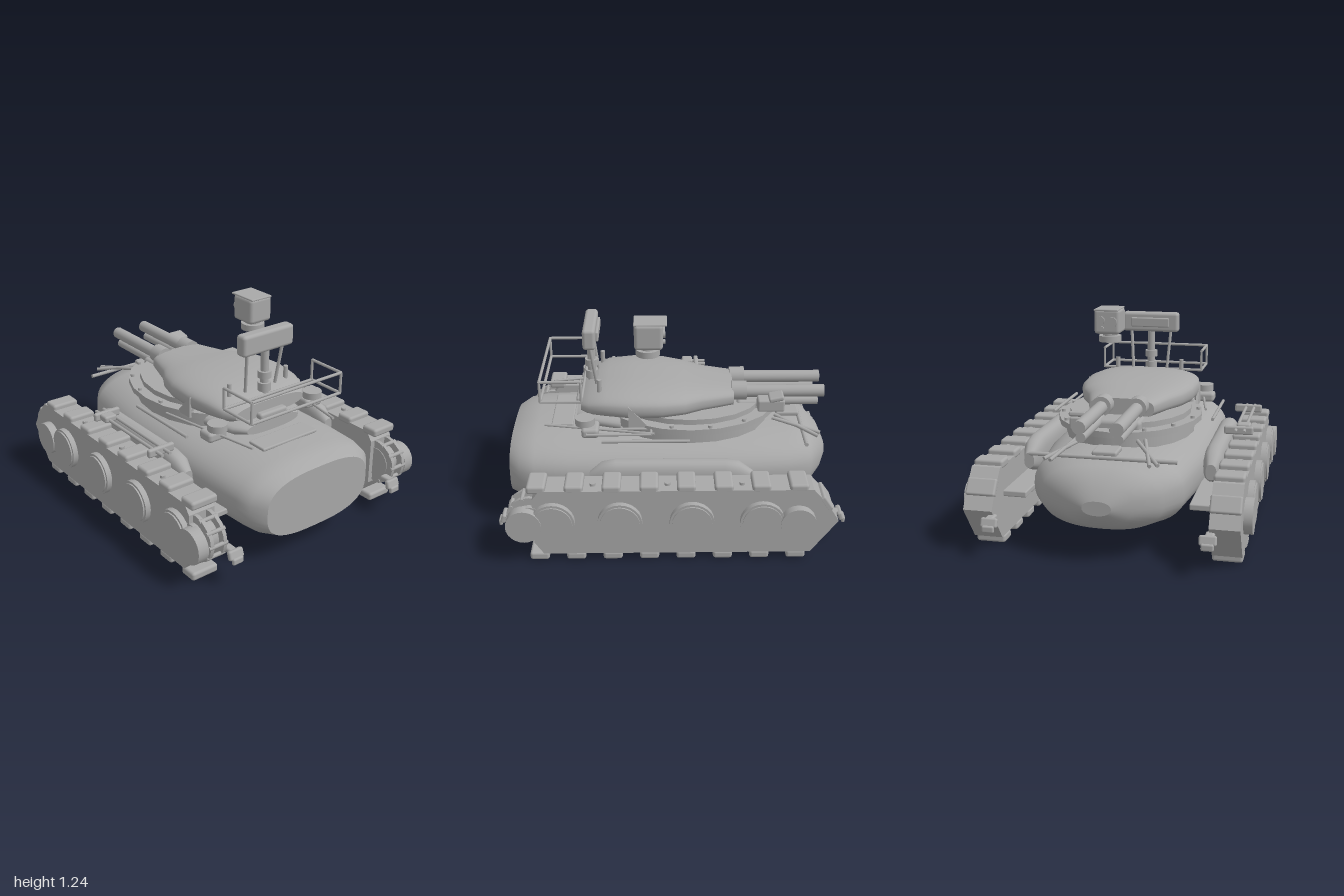
import * as THREE from 'three';
import { RoundedBoxGeometry } from 'three/addons/geometries/RoundedBoxGeometry.js';

const grey = new THREE.MeshStandardMaterial({ color: 0xa8a8a8 });
grey.name = 'plain grey';

// Closed body through superellipse sections [z, halfWidth, bottom, top, exponent], rear to front
function loft(sections, sides = 48) {
  const pos = [], idx = [];
  const ring = ([z, w, b, t, n]) => {
    for (let j = 0; j < sides; j++) {
      const a = (j / sides) * Math.PI * 2, c = Math.cos(a), s = Math.sin(a);
      pos.push(w * Math.sign(c) * Math.abs(c) ** (2 / n),
        (b + t) / 2 + ((t - b) / 2) * Math.sign(s) * Math.abs(s) ** (2 / n), z);
    }
  };
  sections.forEach(ring);
  for (let i = 0; i < sections.length - 1; i++) {
    for (let j = 0; j < sides; j++) {
      const k = (j + 1) % sides, p = i * sides, q = p + sides;
      idx.push(p + j, p + k, q + k, p + j, q + k, q + j);
    }
  }
  // flat end caps with their own corners
  [sections[0], sections[sections.length - 1]].forEach((sec, e) => {
    const base = pos.length / 3;
    ring(sec);
    pos.push(0, (sec[2] + sec[3]) / 2, sec[0]);
    for (let j = 0; j < sides; j++) {
      const k = (j + 1) % sides;
      idx.push(base + sides, base + (e ? j : k), base + (e ? k : j));
    }
  });
  const g = new THREE.BufferGeometry();
  g.setAttribute('position', new THREE.Float32BufferAttribute(pos, 3));
  g.setIndex(idx);
  g.computeVertexNormals();
  return g;
}

// Profile given as [z, y] points, extruded across x and centred on x = 0
function sidePlate(points, width, bevel = 0) {
  const shape = new THREE.Shape(points.map(([z, y]) => new THREE.Vector2(z, y)));
  const g = new THREE.ExtrudeGeometry(shape, {
    depth: width - 2 * bevel, bevelEnabled: bevel > 0, bevelSize: bevel,
    bevelOffset: -bevel, bevelThickness: bevel, bevelSegments: 2,
  });
  return g.translate(0, 0, bevel - width / 2).rotateY(-Math.PI / 2);
}

export function createModel() {
  const model = new THREE.Group();
  model.name = 'trackedVehicle';

  const add = (name, geo, x = 0, y = 0, z = 0) => {
    const m = new THREE.Mesh(geo, grey);
    m.name = name;
    m.position.set(x, y, z);
    model.add(m);
    return m;
  };
  const box = (name, w, h, d, x, y, z, r = 0.012) =>
    add(name, new RoundedBoxGeometry(w, h, d, 2, Math.min(r, w / 2.1, h / 2.1, d / 2.1)), x, y, z);
  const disc = (name, axis, r, len, x, y, z, sides = 24) => {
    const g = new THREE.CylinderGeometry(r, r, len, sides);
    if (axis === 'x') g.rotateZ(Math.PI / 2);
    if (axis === 'z') g.rotateX(Math.PI / 2);
    return add(name, g, x, y, z);
  };
  const rod = (name, a, b, r = 0.008) => {
    const p = new THREE.Vector3(...a), q = new THREE.Vector3(...b);
    const m = add(name, new THREE.CylinderGeometry(r, r, p.distanceTo(q), 8));
    m.position.copy(p).lerp(q, 0.5);
    m.quaternion.setFromUnitVectors(new THREE.Vector3(0, 1, 0), q.sub(p).normalize());
  };

  // Hull
  add('hull', loft([
    [-0.95, 0.08, 0.28, 0.36, 2.2], [-0.91, 0.19, 0.21, 0.45, 2.3], [-0.83, 0.34, 0.165, 0.52, 2.4],
    [-0.69, 0.425, 0.145, 0.555, 2.5], [-0.24, 0.48, 0.135, 0.57, 2.5], [0.2, 0.485, 0.135, 0.57, 2.5],
    [0.6, 0.48, 0.135, 0.57, 2.5], [0.8, 0.465, 0.135, 0.567, 2.5], [0.89, 0.44, 0.137, 0.55, 2.6],
    [0.955, 0.37, 0.145, 0.515, 2.8],
  ]));

  // Running gear and side fittings, mirrored
  const trackProfile = [[0.74, 0.455], [-0.78, 0.455], [-0.87, 0.35], [-0.93, 0.25],
    [-0.78, 0.045], [0.73, 0.045], [0.78, 0.12], [0.78, 0.4]];
  for (const s of [1, -1]) {
    add('trackBody', sidePlate(trackProfile, 0.165), s * 0.675);
    for (const z of [0.67, 0.295, -0.107, -0.5]) {
      disc('roadWheel', 'x', 0.125, 0.05, s * 0.765, 0.26, z);
      disc('wheelFace', 'x', 0.112, 0.01, s * 0.794, 0.26, z);
    }
    for (const z of [0.83, -0.7]) disc('endWheel', 'x', 0.1, 0.065, s * 0.774, 0.255, z);
    // drive sprocket
    for (const x of [0.635, 0.72]) disc('sprocketDisc', 'x', 0.135, 0.022, s * x, 0.265, 0.8, 16);
    disc('sprocketHub', 'x', 0.09, 0.14, s * 0.69, 0.265, 0.8);
    for (let i = 0; i < 10; i++) {
      const a = (i / 10) * Math.PI * 2;
      disc('sprocketBolt', 'x', 0.012, 0.12, s * 0.678, 0.265 + 0.125 * Math.sin(a), 0.8 + 0.125 * Math.cos(a), 8);
    }
    // track shoes
    for (let i = 0; i < 8; i++) {
      const z = -0.7 + i * 0.208;
      box('lowerShoe', 0.17, 0.05, 0.11, s * 0.673, 0.025, z, 0.016);
      box('upperShoe', 0.17, 0.05, 0.105, s * 0.673, 0.461, z, 0.016);
      if (i < 7 && i % 2) disc('shoeBolt', 'y', 0.016, 0.02, s * 0.69, 0.46, z + 0.105, 10);
    }
    box('rearShoe', 0.17, 0.1, 0.04, s * 0.673, 0.36, -0.855).rotation.x = 0.6;
    // tow hooks
    for (const e of [1, -1]) {
      box('towHookArm', 0.05, 0.03, 0.08, s * 0.6, 0.21, e * 0.925);
      box('towHook', 0.095, 0.055, 0.03, s * 0.595, 0.2, e * 0.965).rotation.x = -e * 0.35;
      box('towHookTip', 0.07, 0.04, 0.022, s * 0.595, 0.17, e * 0.985);
    }
    // inner shelf and fender pod
    box('innerShelf', 0.14, 0.035, 1.47, s * 0.53, 0.292, -0.005, 0.008);
    add('fenderPod', loft([[-0.46, 0.03, 0.36, 0.45, 2.5], [-0.38, 0.055, 0.325, 0.51, 2.6],
      [-0.3, 0.06, 0.32, 0.525, 2.6], [0.32, 0.06, 0.32, 0.525, 2.6], [0.4, 0.055, 0.325, 0.51, 2.6],
      [0.47, 0.03, 0.36, 0.45, 2.5]], 24), s * 0.535);
    // turret side fittings
    disc('sideDrum', 'y', 0.057, 0.04, s * 0.355, 0.685, 0.5);
    box('drumBracket', 0.13, 0.06, 0.1, s * 0.36, 0.63, 0.47, 0.02);
    add('sideFin', sidePlate([[0.25, 0.77], [0.25, 0.64], [0.13, 0.64]], 0.015), s * 0.355);
    rod('sideRod', [s * 0.42, 0.63, 0.1], [s * 0.3, 0.63, 0.74]);
    rod('sideRail', [s * 0.49, 0.62, -0.1], [s * 0.49, 0.62, 0.4], 0.01);
    disc('roofPeg', 'y', 0.014, 0.08, s * 0.21, 0.835, 0.42, 10);
    // rear brace rods
    rod('rearBrace', [s * 0.31, 0.55, -0.86], [s * 0.15, 0.61, -0.62], 0.011);
    rod('rearBrace', [s * 0.27, 0.55, -0.88], [s * 0.19, 0.61, -0.6], 0.011);
  }
  rod('rearCrossbar', [-0.4, 0.55, -0.78], [0.42, 0.55, -0.78], 0.012);
  box('rearPlate', 0.14, 0.03, 0.14, 0, 0.57, -0.71);

  // Stowage rack on the right side
  for (const x of [-0.69, -0.64]) rod('rackRail', [x, 0.59, -0.24], [x, 0.59, 0.45], 0.01);
  for (const z of [-0.18, 0.38]) box('rackCrossbar', 0.17, 0.05, 0.03, -0.655, 0.585, z);
  box('rackClamp', 0.08, 0.04, 0.07, -0.68, 0.595, -0.12);
  // rail loop on the left side
  for (const x of [0.36, 0.43]) rod('loopRail', [x, 0.63, 0.12], [x, 0.63, 0.49]);
  for (const z of [0.12, 0.49]) rod('loopEnd', [0.36, 0.63, z], [0.43, 0.63, z]);

  // Turret ring
  const ovalDeck = (name, rx, rz, h, y) =>
    add(name, new THREE.CylinderGeometry(1, 1, h, 20).scale(rx, 1, rz), 0, y, -0.11);
  ovalDeck('turretBase', 0.38, 0.48, 0.08, 0.585);
  ovalDeck('turretRing', 0.425, 0.525, 0.035, 0.635);
  ovalDeck('turretCollar', 0.36, 0.44, 0.04, 0.665);
  for (let i = 0; i < 14; i++) {
    const a = ((i + 0.5) / 14) * Math.PI * 2;
    disc('ringBolt', 'y', 0.013, 0.02, 0.4 * Math.cos(a), 0.658, -0.11 + 0.5 * Math.sin(a), 8);
  }

  // Turret
  add('turret', loft([
    [-0.37, 0.19, 0.67, 0.785, 3], [-0.18, 0.25, 0.65, 0.8, 2.8], [-0.08, 0.31, 0.645, 0.815, 2.7],
    [0.05, 0.35, 0.64, 0.83, 2.7], [0.22, 0.36, 0.64, 0.835, 2.7], [0.38, 0.335, 0.65, 0.825, 2.7],
    [0.48, 0.3, 0.655, 0.795, 2.7], [0.53, 0.25, 0.67, 0.76, 2.6],
  ]));
  add('turretNose', loft([[0.3, 0.3, 0.56, 0.67, 2.5], [0.5, 0.25, 0.57, 0.67, 2.5],
    [0.56, 0.19, 0.585, 0.655, 2.5]], 32));
  box('noseHandle', 0.2, 0.038, 0.05, 0, 0.685, 0.545, 0.015);
  box('frontHatch', 0.4, 0.02, 0.13, 0, 0.572, 0.65, 0.008);

  // Twin guns
  for (const x of [-0.105, 0.1]) {
    disc('barrel', 'z', 0.037, 0.56, x, 0.745, -0.635);
    disc('barrelCollar', 'z', 0.057, 0.09, x, 0.75, -0.405);
    disc('lowerBarrel', 'z', 0.027, 0.48, x, 0.682, -0.64);
  }
  box('gunSight', 0.09, 0.075, 0.16, 0.18, 0.7, -0.59);
  box('gunSightHood', 0.1, 0.03, 0.09, 0.18, 0.745, -0.62).rotation.x = 0.2;
  box('gunMount', 0.3, 0.07, 0.16, 0, 0.665, -0.47, 0.025);

  // Radar panel on its mast
  box('radarPanel', 0.365, 0.125, 0.075, 0, 1.107, 0.475, 0.02);
  box('radarBackPlate', 0.25, 0.06, 0.02, 0, 1.107, 0.432, 0.008);
  disc('mast', 'y', 0.024, 0.3, 0, 0.92, 0.475, 16);
  disc('mastCollar', 'y', 0.04, 0.04, 0, 0.9, 0.475, 16);
  disc('mastFoot', 'y', 0.038, 0.05, 0, 0.825, 0.475, 16);
  for (const s of [1, -1]) rod('radarStrut', [s * 0.13, 1.06, 0.475], [s * 0.11, 0.8, 0.44], 0.01);

  // Railing basket
  const corners = [[-0.325, 0.52], [0.325, 0.52], [0.325, 0.755], [-0.325, 0.755]];
  corners.forEach(([x, z], i) => {
    const [x2, z2] = corners[(i + 1) % 4];
    rod('basketPost', [x, 0.79, z], [x, 0.915, z]);
    for (const y of [0.79, 0.915]) if (y < 0.9 || i > 0) rod('basketRail', [x, y, z], [x2, y, z2], 0.009);
  });

  // Sensor head
  box('sensorHead', 0.162, 0.155, 0.165, 0.192, 1.158, 0.13, 0.022);
  box('sensorRoof', 0.15, 0.012, 0.19, 0.192, 1.232, 0.12, 0.005);
  disc('sensorBase', 'y', 0.07, 0.038, 0.192, 1.046, 0.135);
  disc('sensorNeck', 'y', 0.045, 0.04, 0.192, 1.07, 0.135);
  for (const [dx, dy, r] of [[-0.035, 0, 0.032], [0.035, 0.01, 0.024], [0.03, -0.04, 0.014]])
    disc('sensorLens', 'z', r, 0.02, 0.192 + dx, 1.158 + dy, 0.045, 16);

  return model;
}
